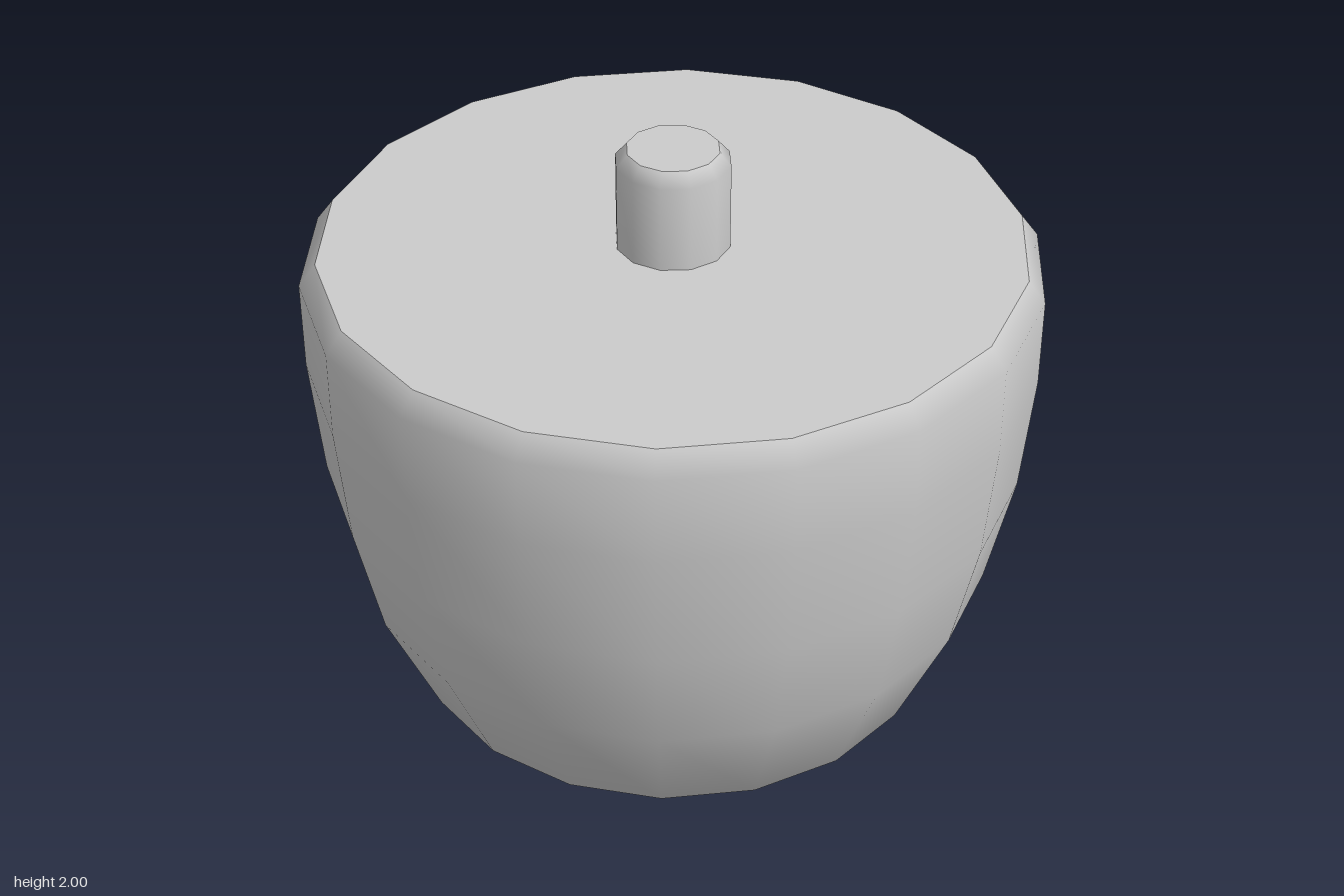
import * as THREE from 'three';

const material = new THREE.MeshStandardMaterial({ color: 0xcccccc });

// Smooth turned surface; the profile runs from bottom to top, with a corner on the x axis
function turned(name, profile, sides) {
  const points = profile.map(([r, y]) => new THREE.Vector2(r, y));
  const mesh = new THREE.Mesh(new THREE.LatheGeometry(points, sides, Math.PI / 2), material);
  mesh.name = name;
  return mesh;
}

// Flat, sharp-edged lid matching the corners of a turned surface
function lid(name, radius, y, sides) {
  const mesh = new THREE.Mesh(new THREE.CircleGeometry(radius, sides), material);
  mesh.rotation.x = -Math.PI / 2;
  mesh.position.y = y;
  mesh.name = name;
  return mesh;
}

export function createModel() {
  const model = new THREE.Group();
  model.name = 'spinningTop';

  // Rounded bowl-shaped body with a chamfered upper rim
  model.add(turned('body', [
    [0, 0.105], [0.08, 0.12], [0.455, 0.21], [0.715, 0.45], [0.86, 0.78],
    [0.93, 1.1], [0.96, 1.43], [0.96, 1.67], [0.915, 1.73],
  ], 18));
  model.add(lid('bodyTop', 0.915, 1.73, 18));

  // Short handle with a chamfered end
  model.add(turned('handle', [[0.15, 1.73], [0.15, 1.965], [0.12, 2]], 12));
  model.add(lid('handleTop', 0.12, 2, 12));

  // Small pointed tip it spins on
  model.add(turned('tip', [[0, 0], [0.058, 0.04], [0.08, 0.122]], 12));

  return model;
}
